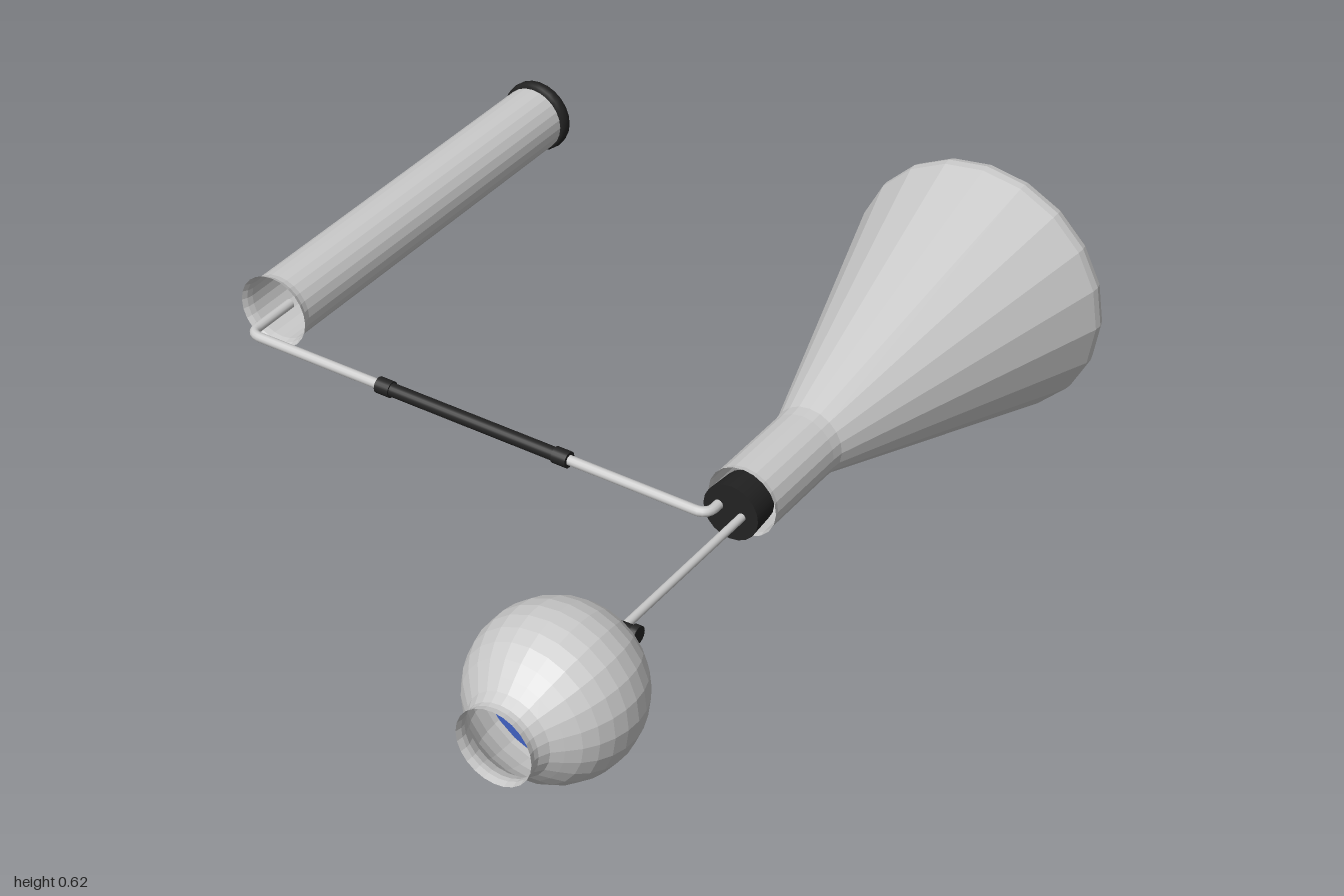
import * as THREE from 'three';

const glass = new THREE.MeshStandardMaterial({ color: 0xcccccc, flatShading: true, side: THREE.DoubleSide });
const smoothGlass = new THREE.MeshStandardMaterial({ color: 0xcccccc });
const rubber = new THREE.MeshStandardMaterial({ color: 0x222222 });
const blue = new THREE.MeshStandardMaterial({ color: 0x4466cc });

// Revolves [radius, z] points about an axis parallel to z
function turned(name, profile, x, y, sides, material) {
  const geometry = new THREE.LatheGeometry(profile.map(([r, z]) => new THREE.Vector2(r, z)), sides);
  geometry.rotateX(Math.PI / 2);
  const mesh = new THREE.Mesh(geometry, material);
  mesh.name = name;
  mesh.position.set(x, y, 0);
  return mesh;
}

// Cylinder along the x or z axis, running from a to b
function rod(name, axis, a, b, r0, r1, center, material) {
  const geometry = new THREE.CylinderGeometry(r1, r0, b - a, 20);
  if (axis === 'x') geometry.rotateZ(-Math.PI / 2);
  else geometry.rotateX(Math.PI / 2);
  const mesh = new THREE.Mesh(geometry, material);
  mesh.name = name;
  mesh.position.copy(center);
  mesh.position[axis] = (a + b) / 2;
  return mesh;
}

// Profile points along a circular arc; angle 0 points to -z
function arc(radius, centerR, centerZ, from, to, steps) {
  return Array.from({ length: steps + 1 }, (_, i) => {
    const a = from + (to - from) * i / steps;
    return [Math.max(0, centerR + radius * Math.sin(a)), centerZ - radius * Math.cos(a)];
  });
}

export function createModel() {
  const model = new THREE.Group();
  const V = (x, y, z) => new THREE.Vector3(x, y, z);

  // Conical flask with a rounded base edge and its stopper
  model.add(turned('flask', [
    [0, -1], ...arc(0.052, 0.258, -0.948, 0, 1.83, 5),
    [0.083, -0.21], [0.081, -0.18], [0.081, 0.045], [0.083, 0.057],
  ], 0.505, 0.311, 20, glass));
  model.add(rod('flaskStopper', 'z', 0.03, 0.102, 0.062, 0.067, V(0.505, 0.311, 0), rubber));

  // Open collecting tube with a flared lip and a dark end cap
  const tubeX = -0.728, tubeY = 0.327;
  model.add(turned('collectingTube', [
    [0.08, -0.985], [0.08, 0.03], [0.083, 0.045], [0.089, 0.057],
  ], tubeX, tubeY, 24, glass));
  model.add(turned('endCap', [
    [0, -1], [0.08, -1], [0.087, -0.995], [0.089, -0.984], [0.087, -0.972], [0.08, -0.965], [0, -0.965],
  ], tubeX, tubeY, 24, rubber));

  // Bent delivery pipe from the stopper to the tube
  const y = 0.32, z = 0.146, bend = 0.03, left = -0.725, right = 0.475;
  const path = new THREE.CurvePath();
  path.add(new THREE.LineCurve3(V(left, y, 0.0), V(left, y, z - bend)));
  path.add(new THREE.QuadraticBezierCurve3(V(left, y, z - bend), V(left, y, z), V(left + bend, y, z)));
  path.add(new THREE.LineCurve3(V(left + bend, y, z), V(right - bend, y, z)));
  path.add(new THREE.QuadraticBezierCurve3(V(right - bend, y, z), V(right, y, z), V(right, y, z - bend)));
  path.add(new THREE.LineCurve3(V(right, y, z - bend), V(right, y, 0.04)));
  const pipe = new THREE.Mesh(new THREE.TubeGeometry(path, 160, 0.0115, 12), smoothGlass);
  pipe.name = 'deliveryPipe';
  model.add(pipe);

  // Rubber connector with a collar at each end
  const pipeCenter = V(0, y, z);
  model.add(rod('rubberConnector', 'x', -0.35, 0.115, 0.0155, 0.0155, pipeCenter, rubber));
  for (const x of [-0.352, 0.112]) {
    model.add(rod('connectorCollar', 'x', x - 0.018, x + 0.018, 0.019, 0.019, pipeCenter, rubber));
  }

  // Funnel stem and stopcock
  const fx = 0.532, fy = 0.31;
  const stemCenter = V(fx, fy, 0.553);
  model.add(rod('funnelStem', 'z', 0.04, 0.62, 0.0095, 0.0095, stemCenter, smoothGlass));
  const stopcock = new THREE.Group();
  stopcock.name = 'stopcock';
  stopcock.add(rod('barrel', 'x', 0.502, 0.56, 0.015, 0.017, stemCenter, rubber));
  stopcock.add(rod('barrelEnd', 'x', 0.558, 0.573, 0.021, 0.021, stemCenter, rubber));
  stopcock.add(rod('barrelStart', 'x', 0.495, 0.507, 0.019, 0.019, stemCenter, rubber));
  stopcock.add(rod('handle', 'x', 0.482, 0.498, 0.006, 0.006, stemCenter, rubber));
  const knob = new THREE.Mesh(new THREE.SphereGeometry(0.01, 12, 8), rubber);
  knob.name = 'knob';
  knob.position.set(0.482, fy, 0.553);
  stopcock.add(knob);
  model.add(stopcock);

  // Globe funnel with an open, slightly flared mouth
  model.add(turned('funnelGlobe', [
    ...arc(0.187, 0, 0.786, 0, 2.45, 13),
    [0.098, 0.95], [0.087, 0.973], [0.086, 0.985], [0.089, 1],
  ], fx, fy, 24, glass));

  // Liquid filling the lower part of the globe
  model.add(turned('liquid', [
    ...arc(0.179, 0, 0.786, 0, 1.65, 10), [0, 0.8],
  ], fx, fy, 24, blue));

  return model;
}
